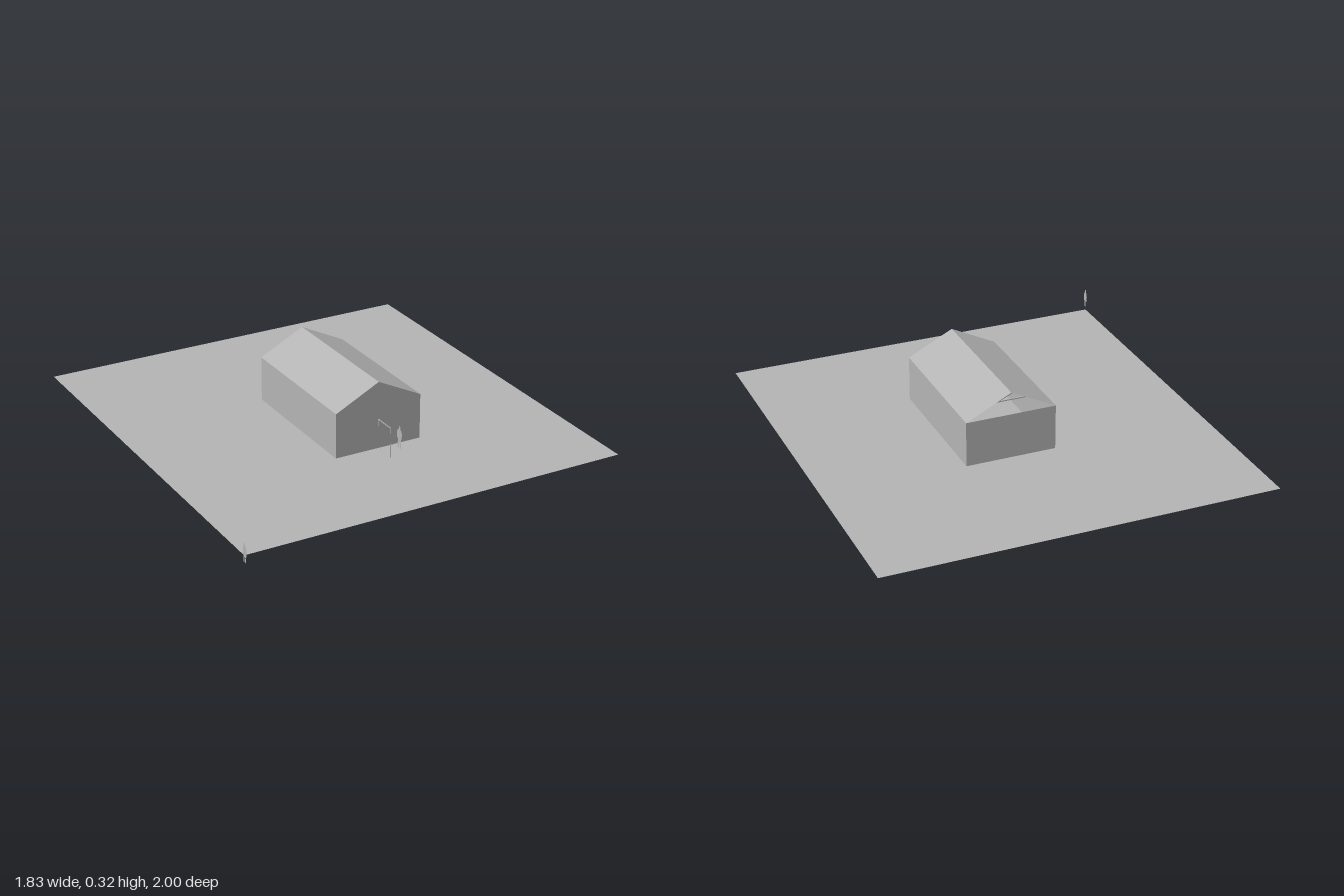
import * as THREE from 'three';

const X0 = -0.17, X1 = 0.25, XM = 0.04;      // side walls and ridge
const ZB = -0.305, ZF = 0.38;                // back and front walls
const BASE = 0.005, EAVE = 0.215, RIDGE = 0.32;

export function createModel() {
  const model = new THREE.Group();
  model.name = 'houseOnPlot';
  const grey = new THREE.MeshStandardMaterial({ color: 0xb4b4b4, side: THREE.DoubleSide });
  grey.name = 'plainGrey';

  const add = (name, geometry, parent = model) => {
    const mesh = new THREE.Mesh(geometry, grey);
    mesh.name = name;
    parent.add(mesh);
    return mesh;
  };

  // Flat four-cornered sheet
  const quad = (a, b, c, d) => {
    const g = new THREE.BufferGeometry();
    g.setAttribute('position', new THREE.Float32BufferAttribute([...a, ...b, ...c, ...d], 3));
    g.setIndex([0, 1, 2, 0, 2, 3]);
    g.computeVertexNormals();
    return g;
  };

  // Square bar between two points
  const bar = (name, a, b, size, parent) => {
    const from = new THREE.Vector3(...a), to = new THREE.Vector3(...b);
    const mesh = add(name, new THREE.BoxGeometry(size, size, from.distanceTo(to)), parent);
    mesh.position.copy(from).add(to).multiplyScalar(0.5);
    mesh.lookAt(to);
    return mesh;
  };

  // Plot of land
  add('ground', quad([-0.9, BASE, 0.94], [0.91, BASE, 0.94], [0.91, BASE, -1], [-0.9, BASE, -1]));

  // Walls: gabled front, low back with the gable left open
  const front = new THREE.Shape([
    [X0, BASE], [X1, BASE], [X1, EAVE], [XM, RIDGE], [X0, EAVE],
  ].map(([x, y]) => new THREE.Vector2(x, y)));
  add('frontWall', new THREE.ShapeGeometry(front)).position.z = ZF;
  add('backWall', quad([X1, BASE, ZB], [X0, BASE, ZB], [X0, EAVE, ZB], [X1, EAVE, ZB]));
  add('leftWall', quad([X1, BASE, ZF], [X1, BASE, ZB], [X1, EAVE, ZB], [X1, EAVE, ZF]));
  add('rightWall', quad([X0, BASE, ZB], [X0, BASE, ZF], [X0, EAVE, ZF], [X0, EAVE, ZB]));

  // Roof slopes
  add('leftRoof', quad([X1, EAVE, ZF], [X1, EAVE, ZB], [XM, RIDGE, ZB], [XM, RIDGE, ZF]));
  add('rightRoof', quad([X0, EAVE, ZB], [X0, EAVE, ZF], [XM, RIDGE, ZF], [XM, RIDGE, ZB]));

  // Trusses under the roof
  for (let i = 1; i < 5; i++) {
    const z = ZB + (ZF - ZB) * i / 5;
    const truss = new THREE.Group();
    truss.name = 'truss';
    model.add(truss);
    bar('tieBeam', [X0, EAVE - 0.004, z], [X1, EAVE - 0.004, z], 0.005, truss);
    bar('kingPost', [XM, EAVE, z], [XM, RIDGE - 0.006, z], 0.005, truss);
    for (const x of [X0, X1]) {
      const mid = (x + XM) / 2;
      bar('rafter', [x + (XM - x) * 0.03, EAVE - 0.001, z], [XM, RIDGE - 0.005, z], 0.005, truss);
      bar('strut', [XM, EAVE, z], [mid, (EAVE + RIDGE) / 2 - 0.006, z], 0.005, truss);
    }
  }

  // Open door outline standing out from the front wall
  const door = new THREE.Group();
  door.name = 'openDoorFrame';
  model.add(door);
  const corners = [[XM, 0.004, ZF], [XM, 0.004, 0.485], [XM, 0.143, 0.485], [XM, 0.143, ZF]];
  corners.forEach((c, i) => bar('doorEdge', c, corners[(i + 1) % 4], 0.003, door));

  // Flat silhouettes of people, seen from the sides
  const person = (name, points, x, z, height, headY) => {
    const group = new THREE.Group();
    group.name = name;
    model.add(group);
    const body = new THREE.Shape(points.map(([u, v]) => new THREE.Vector2(u, v)));
    const head = new THREE.CircleGeometry(0.065, 10);
    head.scale(0.85, 1.1, 1);
    head.translate(0, headY, 0);
    for (const [part, g] of [['body', new THREE.ShapeGeometry(body)], ['head', head]]) {
      g.rotateY(Math.PI / 2);
      add(part, g, group);
    }
    group.position.set(x, 0, z);
    group.scale.setScalar(height);
  };
  person('standingMan', [
    [-0.15, 0], [-0.05, 0], [-0.01, 0.44], [0.05, 0], [0.15, 0], [0.11, 0.45],
    [0.17, 0.46], [0.18, 0.72], [0.14, 0.82], [0.04, 0.88], [-0.04, 0.88],
    [-0.14, 0.82], [-0.18, 0.72], [-0.16, 0.46], [-0.11, 0.45],
  ], 0.12, 0.425, 0.11, 0.93);
  person('standingWoman', [
    [-0.11, 0], [-0.04, 0], [-0.02, 0.28], [0.02, 0.28], [0.05, 0], [0.12, 0],
    [0.1, 0.28], [0.17, 0.36], [0.18, 0.6], [0.14, 0.8], [0.04, 0.88], [-0.04, 0.88],
    [-0.14, 0.8], [-0.18, 0.6], [-0.17, 0.36], [-0.09, 0.28],
  ], -0.92, 0.985, 0.09, 0.93);

  return model;
}
